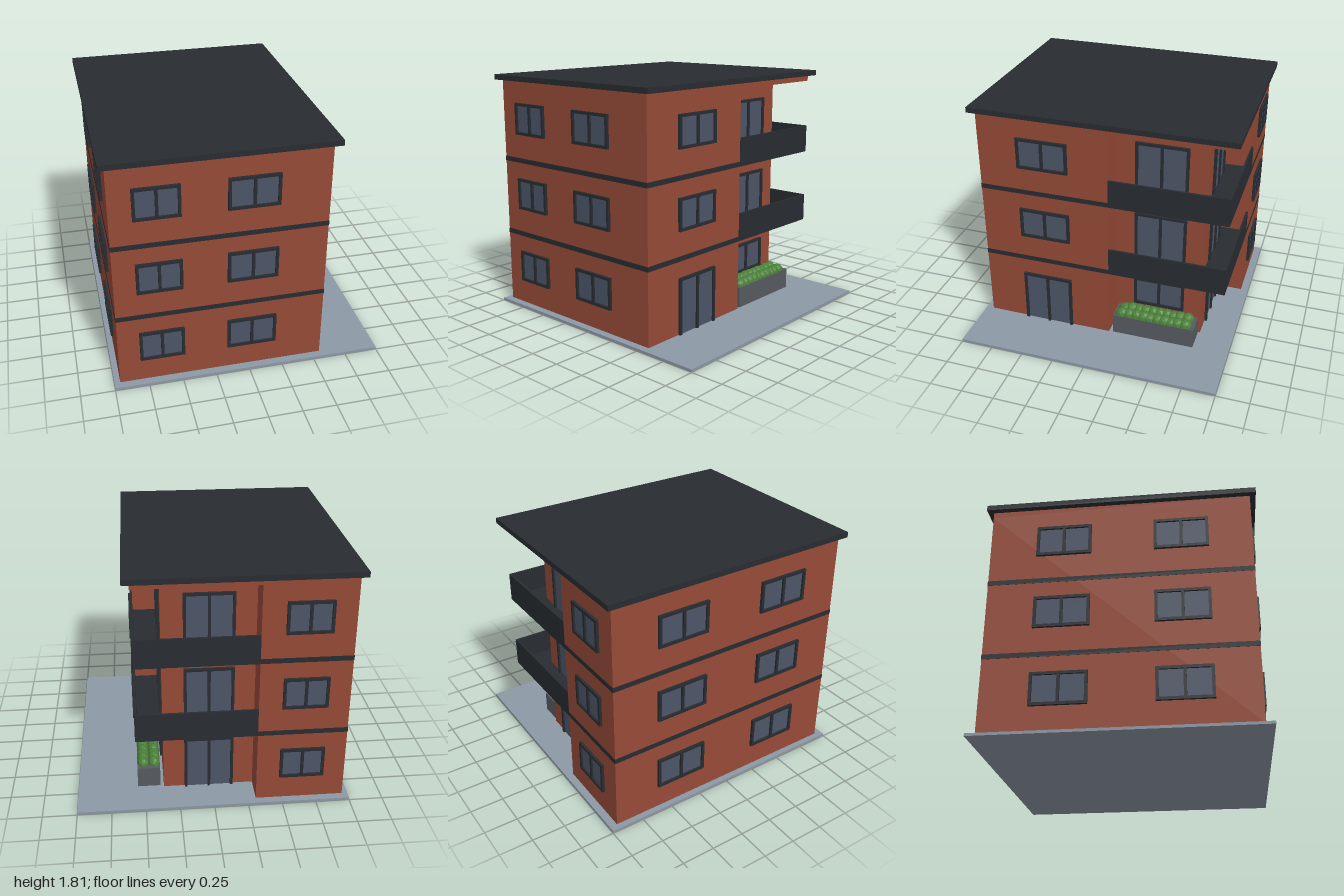
import * as THREE from 'three';

const mat = (color, extra = {}) => new THREE.MeshStandardMaterial({ color, ...extra });
const BRICK = mat(0x964a37), DARK = mat(0x282c31), GLASS = mat(0x4c5567);
const PAVING = mat(0x8c98a4), CONCRETE = mat(0x565b61), LEAF = mat(0x4a8038, { flatShading: true });

// Box given by its minimum and maximum corners
function box(parent, name, material, [x0, y0, z0], [x1, y1, z1]) {
  const mesh = new THREE.Mesh(new THREE.BoxGeometry(x1 - x0, y1 - y0, z1 - z0), material);
  mesh.position.set((x0 + x1) / 2, (y0 + y1) / 2, (z0 + z1) / 2);
  mesh.name = name;
  parent.add(mesh);
  return mesh;
}

// Outer walls, and the recessed corner at the back
const L = -0.957, R = 0.56, F = 0.942, B = -0.942;
const NX = -0.31, NZ = -0.055;   // where the recess starts on the back and on the side
const CX = 0.36, CZ = -0.74;     // recessed wall planes
const GROUND = 0.02;

// Window or door lying on z = 0 and facing +z; doors have no bottom rail
function makeWindow(width, y0, y1, isDoor) {
  const g = new THREE.Group();
  g.name = isDoor ? 'glassDoor' : 'window';
  const t = 0.021, d = 0.02, w = width / 2;
  box(g, 'pane', GLASS, [-w + t / 2, y0 + 0.001, -0.01], [w - t / 2, y1 - t / 2, 0.006]);
  for (const x of [-w, -t / 2, w - t]) box(g, 'framePost', DARK, [x, y0, -0.01], [x + t, y1, d]);
  box(g, 'topRail', DARK, [-w, y1 - t, -0.01], [w, y1, d]);
  if (!isDoor) box(g, 'bottomRail', DARK, [-w, y0, -0.01], [w, y0 + t, d]);
  return g;
}

// Lumpy strip of foliage
function makeHedge() {
  let seed = 7;
  const rnd = () => (seed = (seed * 16807) % 2147483647) / 2147483647;
  const hedge = new THREE.Group();
  hedge.name = 'hedge';
  for (let i = 0; i < 10; i++) {
    for (const x of [0.43, 0.51]) {
      const clump = new THREE.Mesh(new THREE.IcosahedronGeometry(1, 1), LEAF);
      clump.name = 'leafClump';
      clump.scale.set(0.045, 0.042 + 0.016 * rnd(), 0.05 + 0.01 * rnd());
      clump.rotation.y = rnd() * 0.5;
      clump.position.set(x, 0.18, -0.155 - i * 0.055 + 0.015 * (rnd() - 0.5));
      hedge.add(clump);
    }
  }
  return hedge;
}

export function createModel() {
  const model = new THREE.Group();
  model.name = 'apartmentBlock';

  box(model, 'groundSlab', PAVING, [-1, 0, -1], [1, GROUND, 1]);

  // Brick body with the corner cut back
  const outline = [[L, F], [R, F], [R, NZ], [CX, NZ], [CX, CZ], [NX, CZ], [NX, B], [L, B]];
  const shape = new THREE.Shape(outline.map(([x, z]) => new THREE.Vector2(x, -z)));
  const wallGeo = new THREE.ExtrudeGeometry(shape, { depth: 1.725 - GROUND, bevelEnabled: false });
  wallGeo.rotateX(-Math.PI / 2).translate(0, GROUND, 0);
  const walls = new THREE.Mesh(wallGeo, BRICK);
  walls.name = 'brickWalls';
  model.add(walls);
  box(model, 'brickTop', BRICK, [L, 1.725, B], [R, 1.77, F]);
  box(model, 'roof', DARK, [-1, 1.77, -0.985], [0.61, 1.81, 0.985]);

  // Floor plates show as bands on the walls and carry the corner balconies
  const e = 0.002, t = 0.015;
  for (const y of [0.565, 1.145]) {
    box(model, 'floorPlate', DARK, [L - e, y, B - e], [R + e, y + 0.037, F + e]);
    const top = y + 0.215;
    box(model, 'balconySideParapet', DARK, [R - t, y, B - e], [R + e, top, NZ]);
    box(model, 'balconyBackParapet', DARK, [NX, y, B - e], [R - t, top, B + t]);
  }

  // Openings: wall angle, plane position, span along the wall
  const narrow = [-0.80, -0.476], wide = [-0.16, 0.203];
  const sideFront = [0.246, 0.636], sideBack = [-0.6, -0.203];
  const heads = [0.445, 1.025, 1.605], floors = [GROUND, 0.602, 1.182];
  const none = [], all = [0, 1, 2];
  const openings = [
    { face: 'front', at: F, span: narrow, doors: none },
    { face: 'front', at: F, span: wide, doors: none },
    { face: 'back', at: B, span: narrow, doors: none },
    { face: 'back', at: CZ, span: wide, doors: all },
    { face: 'left', at: L, span: sideFront, doors: none },
    { face: 'left', at: L, span: sideBack, doors: none },
    { face: 'right', at: R, span: sideFront, doors: [0] },
    { face: 'right', at: CX, span: sideBack, doors: [1, 2] },
  ];
  const angle = { front: 0, back: Math.PI, left: -Math.PI / 2, right: Math.PI / 2 };
  for (const { face, at, span, doors } of openings) {
    const mid = (span[0] + span[1]) / 2;
    for (const i of all) {
      const isDoor = doors.includes(i);
      const w = makeWindow(span[1] - span[0], isDoor ? floors[i] : heads[i] - 0.24, heads[i], isDoor);
      w.rotation.y = angle[face];
      if (face === 'front' || face === 'back') w.position.set(mid, 0, at);
      else w.position.set(at, 0, mid);
      model.add(w);
    }
  }

  // Planter in the ground floor recess
  box(model, 'planter', CONCRETE, [0.385, GROUND, -0.725], [0.555, 0.18, -0.085]);
  model.add(makeHedge());

  return model;
}
